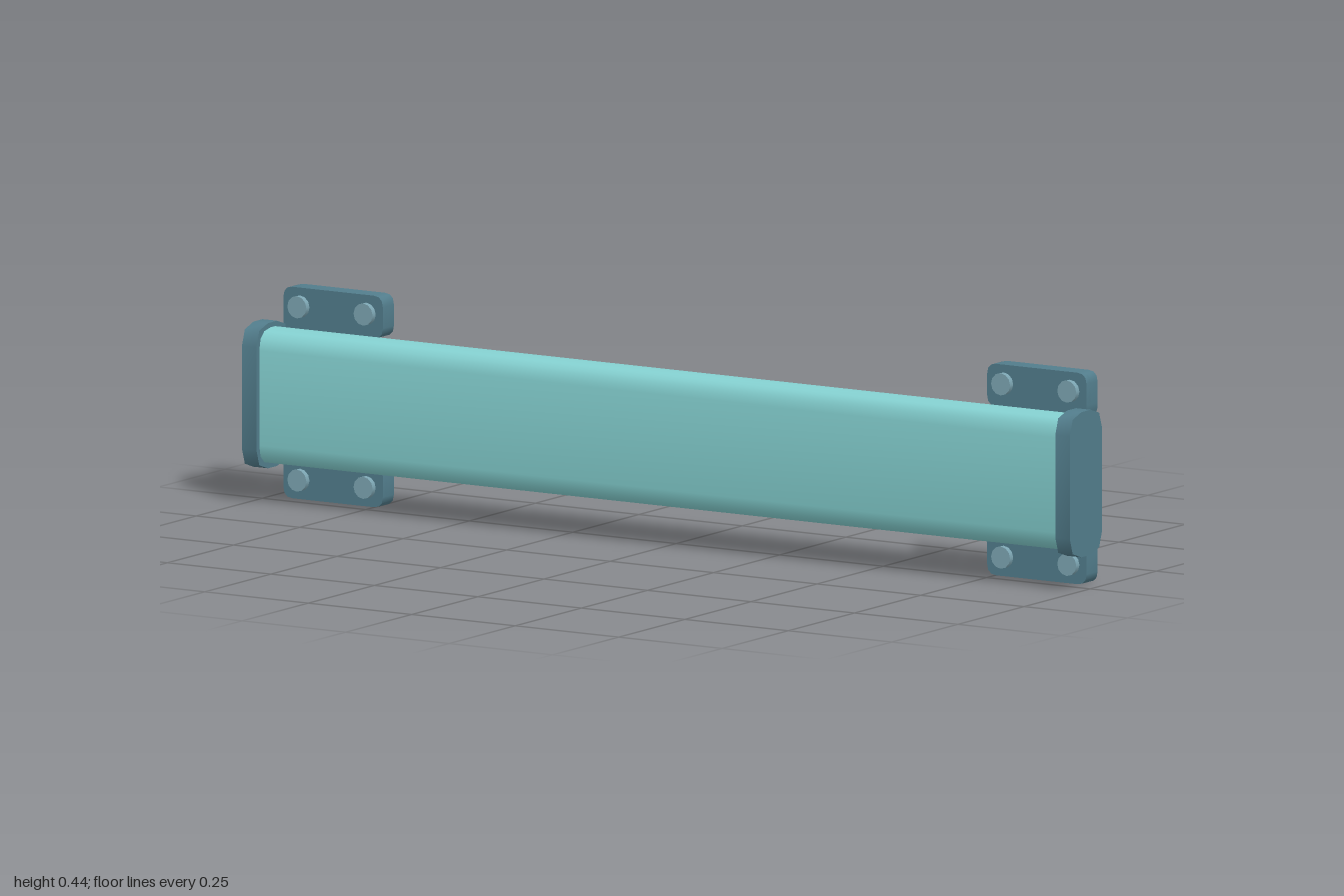
import * as THREE from 'three';
import { toCreasedNormals } from 'three/addons/utils/BufferGeometryUtils.js';

const mat = (name, color) => {
  const m = new THREE.MeshStandardMaterial({ color });
  m.name = name;
  return m;
};

// Closed shape from corner points, each corner rounded by up to r
function roundedShape(points, r, Type = THREE.Shape) {
  const pts = points.map(([x, y]) => new THREE.Vector2(x, y));
  const shape = new Type();
  pts.forEach((p, i) => {
    const prev = pts[(i + pts.length - 1) % pts.length];
    const next = pts[(i + 1) % pts.length];
    const toward = (q) => p.clone().lerp(q, Math.min(r / p.distanceTo(q), 0.48));
    const a = toward(prev), b = toward(next);
    if (i === 0) shape.moveTo(a.x, a.y);
    else shape.lineTo(a.x, a.y);
    shape.quadraticCurveTo(p.x, p.y, b.x, b.y);
  });
  shape.closePath();
  return shape;
}

const rect = (x0, x1, y0, y1) => [[x0, y0], [x1, y0], [x1, y1], [x0, y1]];

function extrude(shape, depth, curveSegments, crease) {
  const g = new THREE.ExtrudeGeometry(shape, { depth, curveSegments, bevelEnabled: false });
  return toCreasedNormals(g, crease);
}

// Prism running along x from x0 to x1, with a rounded z-y section
function barAlongX(x0, x1, z0, z1, y0, y1, r, segments) {
  const g = extrude(roundedShape(rect(z0, z1, y0, y1), r), x1 - x0, segments, 1.0);
  return g.rotateY(-Math.PI / 2).translate(x1, 0, 0);
}

// I-shaped bracket outline, inset by d, on side s
function bracketOutline(s, d) {
  const a = 0.73 + d, b = 0.97 - d, m = 0.838 + d, n = 0.955 - d;
  const y0 = d, y1 = 0.088 - d, y2 = 0.349 + d, y3 = 0.437 - d;
  return [[a, y0], [b, y0], [b, y1], [n, y1], [n, y2], [b, y2],
    [b, y3], [a, y3], [a, y2], [m, y2], [m, y1], [a, y1]].map(([x, y]) => [s * x, y]);
}

export function createModel() {
  const teal = mat('teal', 0x84d0d0);
  const slate = mat('slate blue', 0x527d8c);
  const steel = mat('pale steel', 0x7ca5b2);
  const model = new THREE.Group();
  model.name = 'wallBar';

  const add = (parent, name, geometry, material) => {
    const mesh = new THREE.Mesh(geometry, material);
    mesh.name = name;
    parent.add(mesh);
    return mesh;
  };

  // Long housing
  add(model, 'housing', barAlongX(-0.97, 0.97, -0.035, 0.066, 0.08, 0.36, 0.042, 3), teal);

  for (const s of [-1, 1]) {
    const side = s > 0 ? 'left' : 'right';

    // End cap
    const x0 = s > 0 ? 0.965 : -1;
    add(model, side + 'EndCap', barAlongX(x0, x0 + 0.035, -0.045, 0.077, 0.07, 0.37, 0.044, 2), slate);

    // Mounting bracket: hollow rim, open at the back
    const bracket = new THREE.Group();
    bracket.name = side + 'Bracket';
    model.add(bracket);
    const rim = roundedShape(bracketOutline(s, 0), 0.022);
    rim.holes.push(roundedShape(bracketOutline(s, 0.014), 0.012, THREE.Path));
    add(bracket, 'bracketRim', extrude(rim, 0.042, 3, 0.7).translate(0, 0, -0.075), slate);

    // Front plate and two bolts at the top and the bottom
    for (const y of [0, 0.349]) {
      const plate = roundedShape(rect(s > 0 ? 0.73 : -0.97, s > 0 ? 0.97 : -0.73, y, y + 0.088), 0.022);
      add(bracket, 'bracketPlate', extrude(plate, 0.015, 3, 0.7).translate(0, 0, -0.048), slate);
      for (const x of [0.77, 0.93]) {
        const bolt = add(bracket, 'bolt', new THREE.CylinderGeometry(0.023, 0.023, 0.025, 12), steel);
        bolt.rotation.x = Math.PI / 2;
        bolt.position.set(s * x, y ? 0.398 : 0.04, -0.0335);
      }
    }
  }
  return model;
}
